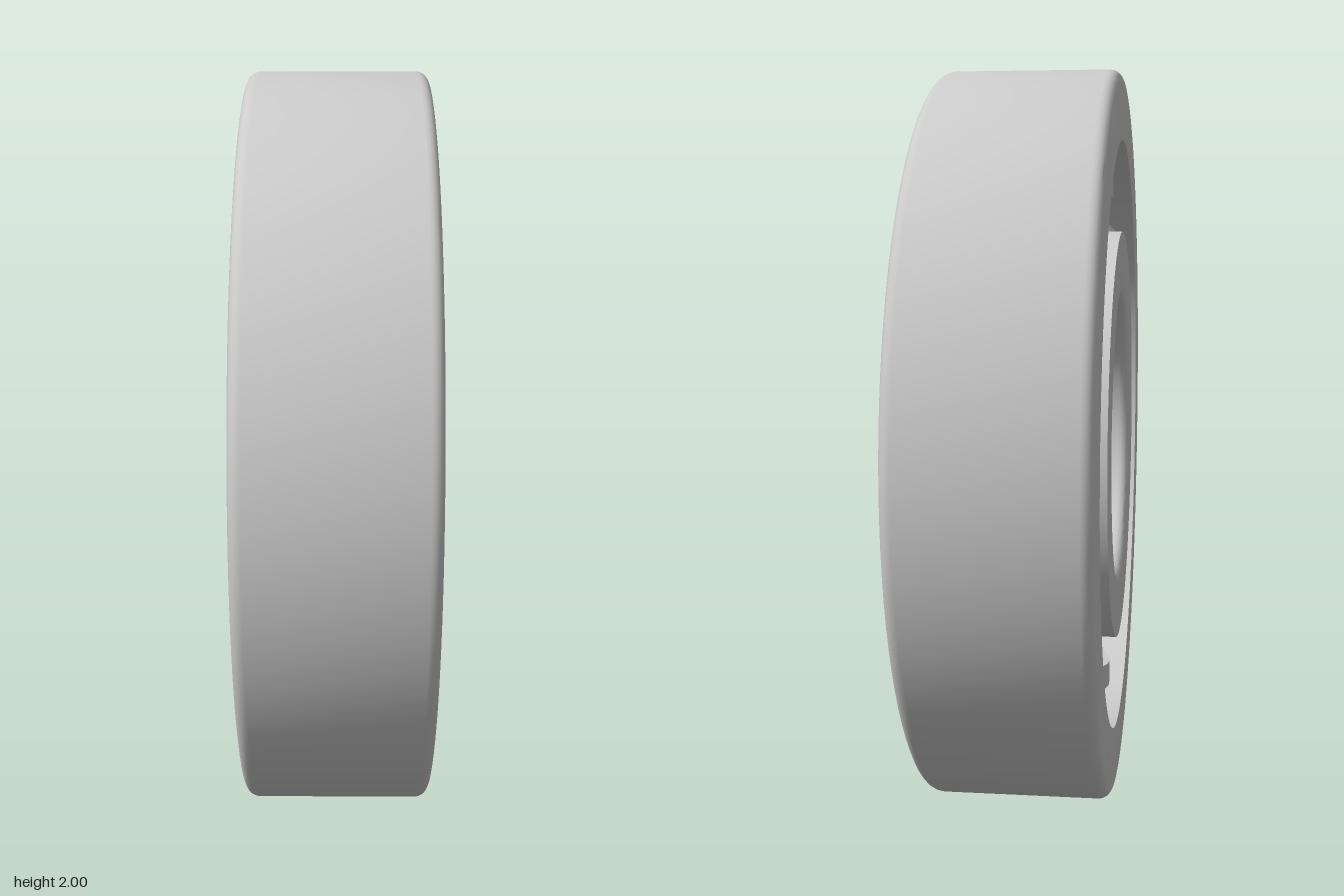
import * as THREE from 'three';
import { toCreasedNormals } from 'three/addons/utils/BufferGeometryUtils.js';

const HALF = 0.237;      // half width of the rings
const PITCH = 0.693;     // radius of the ball circle
const BALL = 0.183;
const GROOVE = 0.186;
const COUNT = 8;
const STEP = (Math.PI * 2) / COUNT;

const material = new THREE.MeshStandardMaterial({ color: 0xcccccc, roughness: 0.5 });

function add(parent, name, geometry) {
  const mesh = new THREE.Mesh(geometry, material);
  mesh.name = name;
  parent.add(mesh);
  return mesh;
}

// Points [radius, axial] along an arc
function arc(cx, cy, r, from, to, n) {
  return Array.from({ length: n + 1 }, (_, i) => {
    const a = from + ((to - from) * i) / n;
    return [cx + r * Math.cos(a), cy + r * Math.sin(a)];
  });
}

// Turned ring around the x axis from a closed profile
function ring(profile) {
  const points = [...profile, profile[0]].map(([r, y]) => new THREE.Vector2(r, y));
  const geometry = new THREE.LatheGeometry(points, 96);
  geometry.rotateZ(-Math.PI / 2);
  return toCreasedNormals(geometry, 0.6);
}

// Outer ring: rounded rim, sharp shoulders, ball groove in the bore
function outerRing() {
  const f = 0.03, bore = 0.815;
  const g = Math.acos((bore - PITCH) / GROOVE);
  return ring([
    ...arc(1 - f, -HALF + f, f, -Math.PI / 2, 0, 5),
    ...arc(1 - f, HALF - f, f, 0, Math.PI / 2, 5),
    [bore, HALF],
    ...arc(PITCH, 0, GROOVE, g, -g, 16),
    [bore, -HALF],
  ]);
}

// Inner ring: ball groove outside, rounded bore edges
function innerRing() {
  const f = 0.03, bore = 0.387, shoulder = 0.568;
  const g = Math.acos((PITCH - shoulder) / GROOVE);
  return ring([
    [shoulder, -HALF],
    ...arc(PITCH, 0, GROOVE, Math.PI + g, Math.PI - g, 16),
    [shoulder, HALF],
    ...arc(bore + f, HALF - f, f, Math.PI / 2, Math.PI, 5),
    ...arc(bore + f, -HALF + f, f, Math.PI, Math.PI * 1.5, 5),
  ]);
}

// Half cage: a flat strip that arches over every ball
function cageHalf(sheet) {
  const rIn = 0.66, rOut = 0.727, inner = 0.187, outer = inner + sheet;
  const start = Math.asin(sheet / outer);
  const position = [], index = [];
  const corner = (x, r, a) => position.push(x, r * Math.cos(a), r * Math.sin(a));
  const section = (xi, ai, xo, ao) => {
    corner(xi, rIn, ai);
    corner(xi, rOut, ai);
    corner(xo, rOut, ao);
    corner(xo, rIn, ao);
  };
  const edge = Math.asin(outer / PITCH);
  for (let k = 0; k < COUNT; k++) {
    const mid = k * STEP;
    for (let i = 0; i <= 24; i++) {
      const p = (Math.PI * i) / 24;
      const q = start + ((Math.PI - 2 * start) * i) / 24;
      section(
        inner * Math.sin(p), mid - Math.asin((inner * Math.cos(p)) / PITCH),
        outer * Math.sin(q), mid - Math.asin((outer * Math.cos(q)) / PITCH),
      );
    }
    for (let i = 0; i <= 4; i++) {
      const a = mid + edge + ((STEP - 2 * edge) * i) / 4;
      section(0, a, sheet, a);
    }
  }
  const total = position.length / 12;
  for (let i = 0; i < total; i++) {
    const next = (i + 1) % total;
    for (let j = 0; j < 4; j++) {
      const a = i * 4 + j, b = i * 4 + ((j + 1) % 4);
      const c = next * 4 + j, d = next * 4 + ((j + 1) % 4);
      index.push(a, c, b, b, c, d);
    }
  }
  const geometry = new THREE.BufferGeometry();
  geometry.setAttribute('position', new THREE.Float32BufferAttribute(position, 3));
  geometry.setIndex(index);
  return toCreasedNormals(geometry, 0.6);
}

export function createModel() {
  const model = new THREE.Group();
  model.name = 'ballBearing';
  const bearing = new THREE.Group();
  bearing.name = 'bearing';
  bearing.position.y = 1;
  model.add(bearing);

  add(bearing, 'outerRing', outerRing());
  add(bearing, 'innerRing', innerRing());

  // Balls and cage sit turned slightly from the vertical
  const rolling = new THREE.Group();
  rolling.name = 'ballsAndCage';
  rolling.rotation.x = 0.016;
  bearing.add(rolling);

  const sheet = 0.022;
  const half = cageHalf(sheet);
  add(rolling, 'cageLeft', half);
  add(rolling, 'cageRight', half).rotation.y = Math.PI;

  const ball = new THREE.SphereGeometry(BALL, 40, 28);
  const rivet = new THREE.SphereGeometry(0.027, 16, 12);
  for (let k = 0; k < COUNT; k++) {
    const a = k * STEP, b = a + STEP / 2;
    add(rolling, 'ball', ball).position.set(0, PITCH * Math.cos(a), PITCH * Math.sin(a));
    // Rivet heads on both faces between the balls
    for (const side of [-1, 1]) {
      add(rolling, 'rivet', rivet).position.set(side * sheet, PITCH * Math.cos(b), PITCH * Math.sin(b));
    }
  }
  return model;
}
